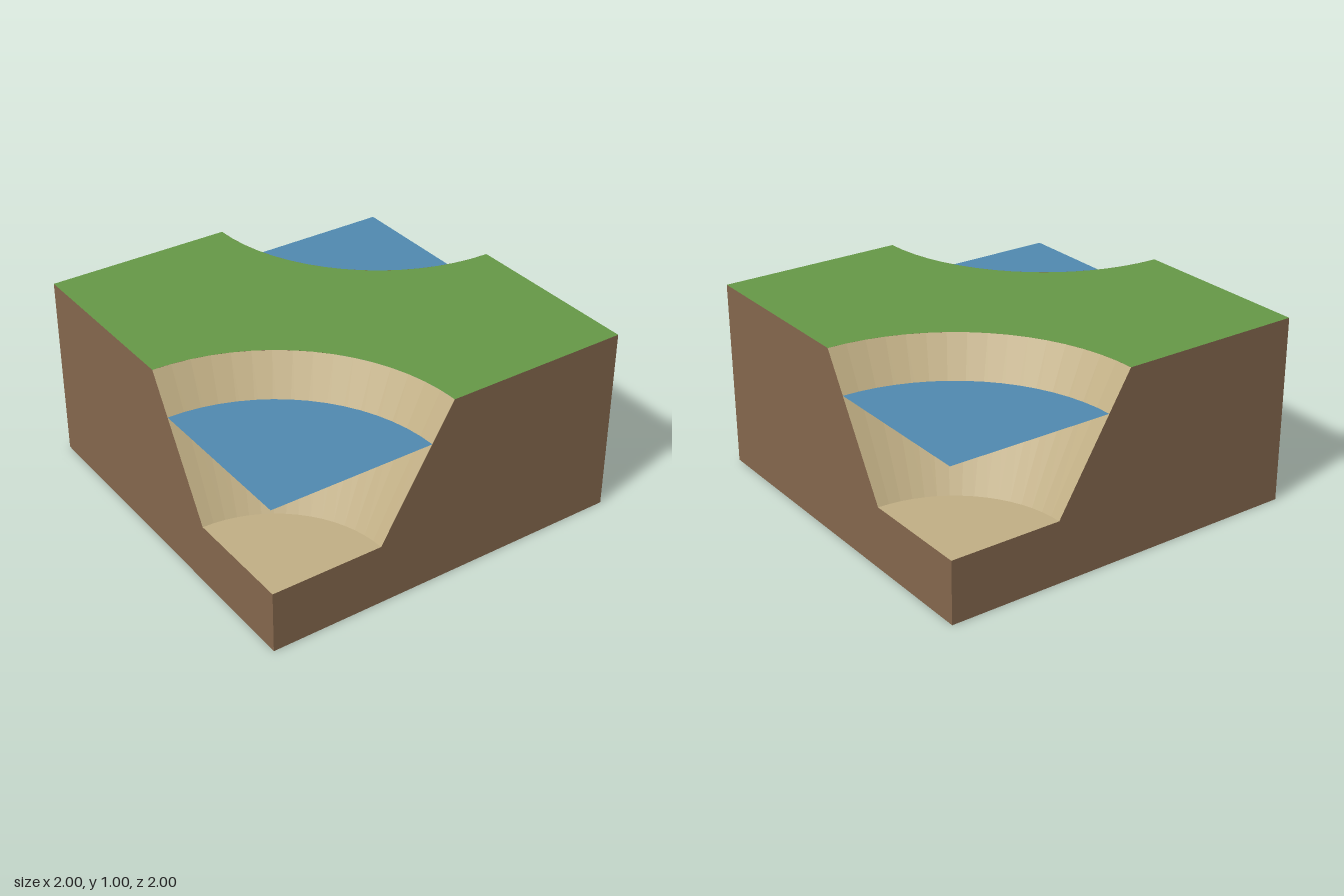
import * as THREE from 'three';

const BED = 1 / 3;        // height of the river bed
const WATER = 0.8;        // height of the water sheet
const BED_RADIUS = 0.6;
const SEGMENTS = 16;      // facets per quarter bend

function material(name, color) {
  const m = new THREE.MeshStandardMaterial({ color, side: THREE.DoubleSide, flatShading: true });
  m.name = name;
  return m;
}

function part(name, geometry, mat) {
  const mesh = new THREE.Mesh(geometry, mat);
  mesh.name = name;
  return mesh;
}

// Flat quarter disc, lying in the corner at (-1, 1)
function quarterDisc(name, radius, y, mat) {
  const geometry = new THREE.CircleGeometry(radius, SEGMENTS, 0, Math.PI / 2).rotateX(-Math.PI / 2);
  const mesh = part(name, geometry, mat);
  mesh.position.set(-1, y, 1);
  return mesh;
}

// Side wall outline, cut away over the river channel; side = -1 or 1 picks the cut end
function wallGeometry(side) {
  const points = [[1, 0], [1, BED], [1 - BED_RADIUS, BED], [0, 1], [-1, 1], [-1, 0]];
  return new THREE.ShapeGeometry(new THREE.Shape(points.map(([u, v]) => new THREE.Vector2(u * side, v))));
}

export function createModel() {
  const grass = material('grass green', 0x659746);
  const earth = material('earth brown', 0x84674d);
  const sand = material('sand', 0xc0ae84);
  const water = material('water blue', 0x5089af);

  const model = new THREE.Group();
  model.name = 'riverTile';

  // Grass top with a quarter circle cut from two opposite corners
  const top = new THREE.Shape();
  top.moveTo(0, -1);
  top.lineTo(1, -1);
  top.lineTo(1, 0);
  top.absarc(1, 1, 1, -Math.PI / 2, -Math.PI, true);
  top.lineTo(-1, 1);
  top.lineTo(-1, 0);
  top.absarc(-1, -1, 1, Math.PI / 2, 0, true);
  const topGeometry = new THREE.ShapeGeometry(top, SEGMENTS).rotateX(-Math.PI / 2).translate(0, 1, 0);
  model.add(part('grassTop', topGeometry, grass));

  // Each half has one channel corner and the two walls beside it
  for (let i = 0; i < 2; i++) {
    const half = new THREE.Group();
    half.name = i === 0 ? 'frontChannel' : 'backChannel';
    half.rotation.y = i * Math.PI;

    const frontWall = part('earthWall', wallGeometry(-1), earth);
    frontWall.position.z = 1;

    const sideWall = part('earthSideWall', wallGeometry(1), earth);
    sideWall.rotation.y = -Math.PI / 2;
    sideWall.position.x = -1;

    // Sloping bank: a quarter of an open cone
    const bank = part('bank', new THREE.CylinderGeometry(
      1, BED_RADIUS, 1 - BED, SEGMENTS, 1, true, Math.PI / 2, Math.PI / 2), sand);
    bank.position.set(-1, (1 + BED) / 2, 1);

    half.add(frontWall, sideWall, bank,
      quarterDisc('riverBed', BED_RADIUS, BED, sand),
      quarterDisc('waterSurface', 0.94, WATER, water));
    model.add(half);
  }
  return model;
}
